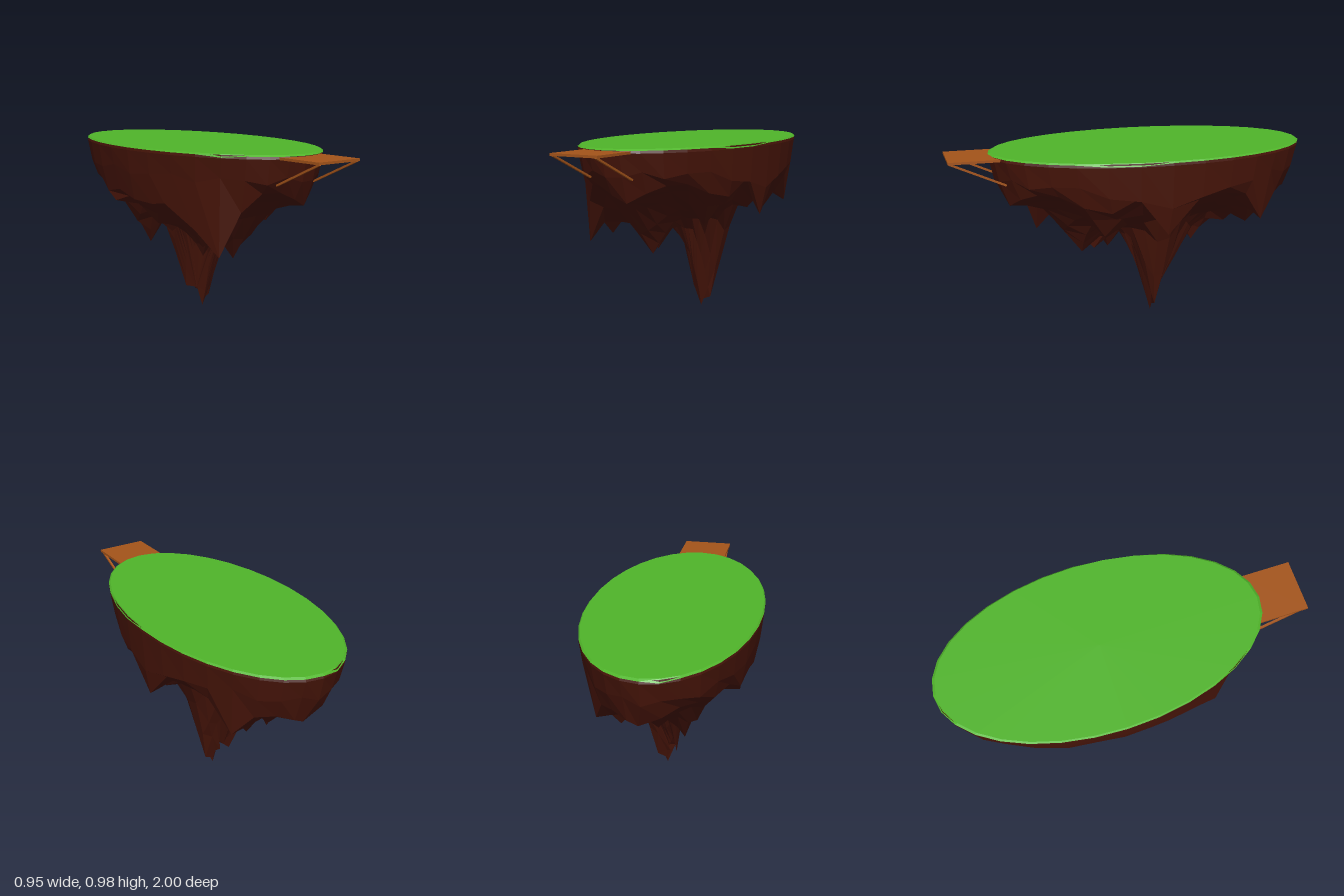
import * as THREE from 'three';

const SIDES = 32, RX = 0.475, RZ = 0.888, CZ = -0.112;

// Hanging rock points: x, y, z of the tip, then spread in x and z and the height over that spread
const SPIKES = [
  // long central point with its side tips
  [0.045, 0.0, -0.12, 0.11, 0.13, 0.45],
  [0.1, 0.055, -0.13, 0.1, 0.13, 0.4],
  [-0.02, 0.115, -0.19, 0.045, 0.18, 0.33],
  [0.02, 0.1, -0.16, 0.075, 0.2, 0.35],
  [0.0, 0.105, -0.115, 0.05, 0.06, 0.25],
  // inner points
  [-0.31, 0.435, 0.47, 0.14, 0.13, 0.28],
  [-0.115, 0.355, 0.09, 0.12, 0.14, 0.18],
  [-0.08, 0.36, 0.18, 0.13, 0.14, 0.2],
  [-0.04, 0.36, 0.26, 0.13, 0.16, 0.2],
  [-0.11, 0.355, -0.42, 0.12, 0.14, 0.2],
  [-0.2, 0.48, -0.08, 0.14, 0.16, 0.12],
  [-0.28, 0.46, 0.3, 0.12, 0.18, 0.15],
  [0.0, 0.49, -0.58, 0.14, 0.14, 0.14],
  [0.18, 0.53, -0.64, 0.14, 0.14, 0.16],
  [0.25, 0.53, 0.2, 0.15, 0.15, 0.17],
  [-0.34, 0.55, -0.02, 0.12, 0.15, 0.15],
  [0.34, 0.6, -0.12, 0.12, 0.13, 0.14],
  // points along the rim
  [0.43, 0.57, -0.1, 0.14, 0.13, 0.19],
  [0.3, 0.575, -0.68, 0.12, 0.14, 0.17],
  [-0.39, 0.64, -0.36, 0.12, 0.15, 0.12],
  [0.08, 0.695, 0.68, 0.2, 0.16, 0.1],
  [0.06, 0.685, 0.59, 0.2, 0.16, 0.12],
  [0.03, 0.675, -0.9, 0.2, 0.16, 0.1],
  [0.08, 0.66, -0.8, 0.2, 0.16, 0.12],
  [-0.42, 0.69, 0.15, 0.15, 0.2, 0.08],
];

// Underside height: shallow, gently uneven bowl with the cones cut out of it
function underside(x, z, r) {
  let y = 0.52 + 0.31 * r * r + 0.03 * Math.sin(13 * x + 2) * Math.sin(9 * z + 1);
  for (const [sx, sy, sz, wx, wz, h] of SPIKES) {
    y = Math.min(y, sy + h * Math.hypot((x - sx) / wx, (z - sz) / wz));
  }
  return y;
}

// Side wall shoulder, sagging above the point on the left rim
function shoulder(x, z, r, j) {
  const a = (j / SIDES) * Math.PI * 2;
  return 0.84 + 0.02 * Math.sin(j * 2.3) - 0.12 * Math.max(0, Math.cos(a)) ** 16;
}

function rockGeometry() {
  const radii = [0.91, 0.8, 0.67, 0.54, 0.42, 0.3, 0.2, 0.1, 0];
  const rows = [];
  const addRow = (r, height) => {
    const row = [];
    for (let j = 0; j < SIDES; j++) {
      const a = (j / SIDES) * Math.PI * 2;
      const x = Math.cos(a) * r * RX, z = CZ + Math.sin(a) * r * RZ;
      row.push([x, height(x, z, r, j), z]);
    }
    rows.push(row);
  };
  addRow(0.992, () => 0.971);
  addRow(1, () => 0.953);
  addRow(0.969, shoulder);
  const wallRows = rows.length;
  radii.forEach((r) => addRow(r, underside));

  // Pull the nearest free vertex onto each tip so the points stay sharp
  const used = new Set();
  for (const [sx, sy, sz] of SPIKES) {
    let best = null, dist = Infinity;
    for (const row of rows.slice(wallRows, -1)) {
      for (const v of row) {
        const d = Math.hypot(v[0] - sx, v[2] - sz);
        if (d < dist && !used.has(v)) { dist = d; best = v; }
      }
    }
    used.add(best);
    best.splice(0, 3, sx, sy, sz);
  }

  const index = [];
  for (let i = 0; i < rows.length - 1; i++) {
    for (let j = 0; j < SIDES; j++) {
      const k = (j + 1) % SIDES;
      const a = i * SIDES + j, b = i * SIDES + k, c = a + SIDES, d = b + SIDES;
      index.push(a, b, c);
      if (i < rows.length - 2) index.push(b, d, c);
    }
  }
  const g = new THREE.BufferGeometry();
  g.setAttribute('position', new THREE.Float32BufferAttribute(rows.flat(2), 3));
  g.setIndex(index);
  g.computeVertexNormals();
  return g;
}

// Thin elliptical turf with a lip that dips here and there
function grassGeometry() {
  const g = new THREE.CylinderGeometry(0.985, 1.001, 0.008, SIDES);
  g.scale(RX, 1, RZ);
  g.translate(0, 0.971, CZ);
  const p = g.attributes.position;
  for (let i = 0; i < p.count; i++) {
    const a = Math.atan2((p.getZ(i) - CZ) / RZ, p.getX(i) / RX);
    if (p.getY(i) < 0.97 && Math.sin(a * 3 + 0.7) > 0.95) p.setY(i, 0.957);
  }
  return g;
}

export function createModel() {
  const island = new THREE.Group();
  island.name = 'floatingIsland';
  const add = (name, geometry, color) => {
    const mesh = new THREE.Mesh(geometry, new THREE.MeshStandardMaterial({ color, flatShading: true }));
    mesh.name = name;
    island.add(mesh);
    return mesh;
  };

  add('rock', rockGeometry(), 0x481509);
  add('grass', grassGeometry(), 0x50b52a);

  // Wooden landing at the front edge
  add('deck', new THREE.BoxGeometry(0.282, 0.013, 0.28), 0xa4541a).position.set(0, 0.957, 0.86);

  // Slanted struts from the deck's outer edge back to the rock
  for (const side of [-1, 1]) {
    const from = new THREE.Vector3(side * 0.128, 0.952, 0.994);
    const to = new THREE.Vector3(side * 0.128, 0.82, 0.7);
    const strut = add(side > 0 ? 'leftStrut' : 'rightStrut',
      new THREE.BoxGeometry(0.012, 0.01, from.distanceTo(to)), 0xa4541a);
    strut.position.copy(from).lerp(to, 0.5);
    strut.lookAt(to);
  }
  return island;
}
